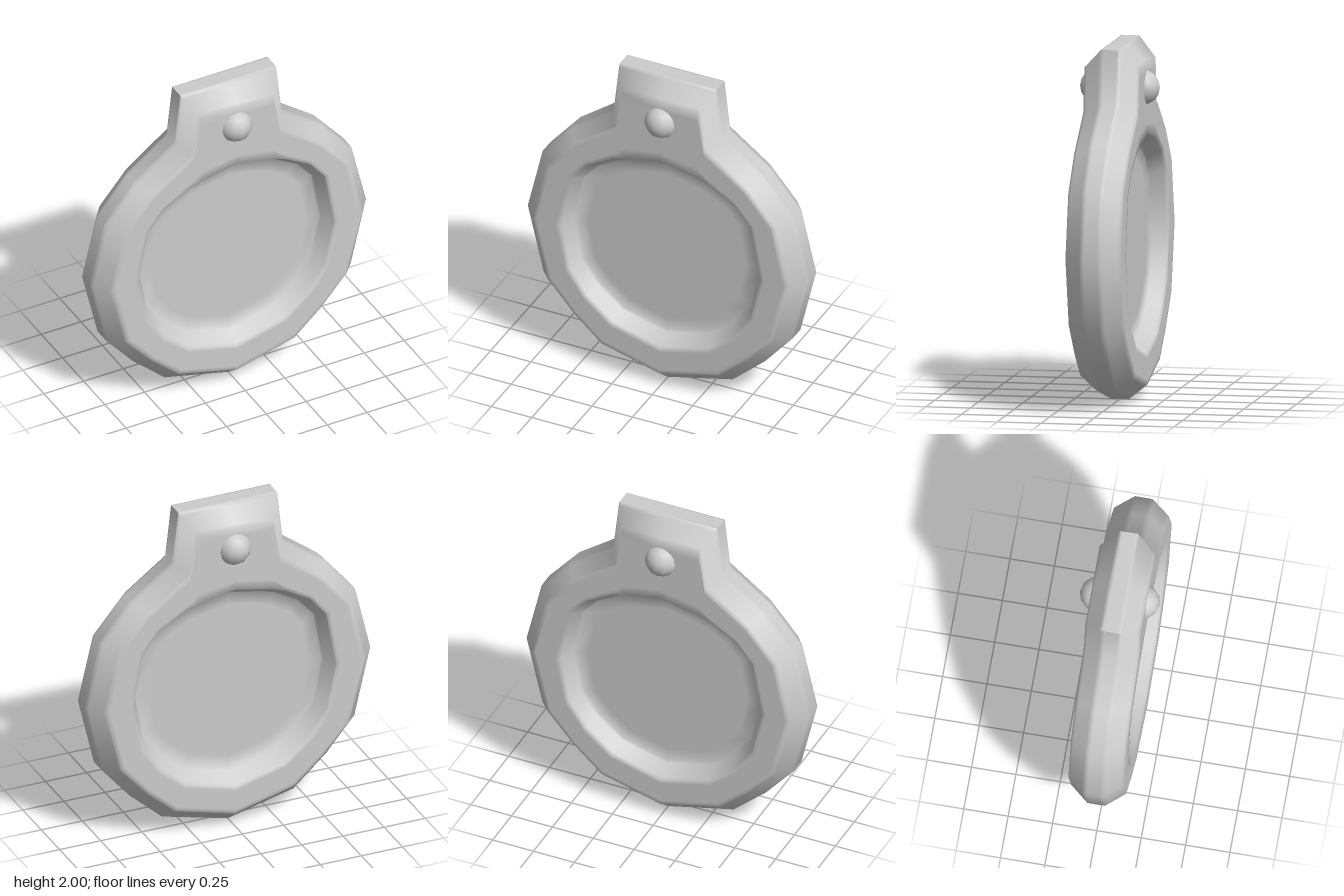
import * as THREE from 'three';
import { toCreasedNormals } from 'three/addons/utils/BufferGeometryUtils.js';

// Right half of each outline, from bottom centre up to top centre
const outer = [[0, 0], [.4, .1], [.6, .28], [.77, .48], [.867, .89], [.775, 1.28], [.59, 1.5], [.335, 1.69], [.3, 2], [0, 2]];
const face = [[0, .085], [.36, .18], [.53, .33], [.69, .51], [.785, .89], [.7, 1.25], [.53, 1.45], [.27, 1.64], [.235, 1.89], [0, 1.89]];
const rim = [[0, .25], [.3, .33], [.46, .46], [.565, .61], [.622, .89], [.56, 1.22], [.46, 1.34], [.3, 1.43], [.22, 1.455], [0, 1.5]];
const floor = [[0, .32], [.27, .39], [.415, .505], [.515, .635], [.565, .89], [.515, 1.18], [.42, 1.29], [.28, 1.37], [.2, 1.395], [0, 1.435]];

// Close a half outline by mirroring it across x = 0
function fullLoop(half, z) {
  const left = half.slice(1, -1).reverse().map(([x, y]) => [-x, y]);
  return [...half, ...left].map(([x, y]) => [x, y, z]);
}

// Loop part of the way from one loop to another
function blend(from, to, t) {
  return from.map((p, i) => p.map((v, axis) => v + (to[i][axis] - v) * t));
}

// Add a support loop on both sides of every loop, so shading bends only near edges
function supportLoops(loops) {
  const centre = (loop) => loop.map(([, , z]) => [0, .88, z]);
  return loops.flatMap((loop, k) => [
    blend(loop, loops[k - 1] ?? centre(loop), .14),
    loop,
    blend(loop, loops[k + 1] ?? centre(loop), .14),
  ]);
}

// Skin a list of loops and close both ends with a fan
function skinLoops(loops) {
  const n = loops[0].length;
  const points = loops.flat();
  const index = [];
  for (let k = 0; k < loops.length - 1; k++) {
    for (let i = 0; i < n; i++) {
      const j = (i + 1) % n;
      const a = k * n + i, b = k * n + j, c = b + n, d = a + n;
      index.push(a, d, c, a, c, b);
    }
  }
  const last = (loops.length - 1) * n;
  const front = points.length, back = front + 1;
  points.push([0, .88, loops[0][0][2]], [0, .88, loops.at(-1)[0][2]]);
  for (let i = 0; i < n; i++) {
    const j = (i + 1) % n;
    index.push(front, i, j, back, last + j, last + i);
  }
  const geometry = new THREE.BufferGeometry();
  geometry.setAttribute('position', new THREE.Float32BufferAttribute(points.flat(), 3));
  geometry.setIndex(index);
  return toCreasedNormals(geometry, 1.25);
}

export function createModel() {
  const model = new THREE.Group();
  model.name = 'medallion';
  const grey = new THREE.MeshStandardMaterial({ color: 0xcccccc });
  grey.name = 'light grey';

  // Bevelled disc with hanging tab, recessed on both sides
  const body = new THREE.Mesh(skinLoops(supportLoops([
    fullLoop(floor, .055), fullLoop(rim, .155), fullLoop(face, .155), fullLoop(outer, .05),
    fullLoop(outer, -.05), fullLoop(face, -.155), fullLoop(rim, -.155), fullLoop(floor, -.055),
  ])), grey);
  body.name = 'body';
  model.add(body);

  // Round stud on each side of the tab
  for (const side of [1, -1]) {
    const stud = new THREE.Mesh(new THREE.SphereGeometry(.098, 12, 8), grey);
    stud.name = side > 0 ? 'frontStud' : 'backStud';
    stud.position.set(0, 1.754, side * .128);
    model.add(stud);
  }
  return model;
}
